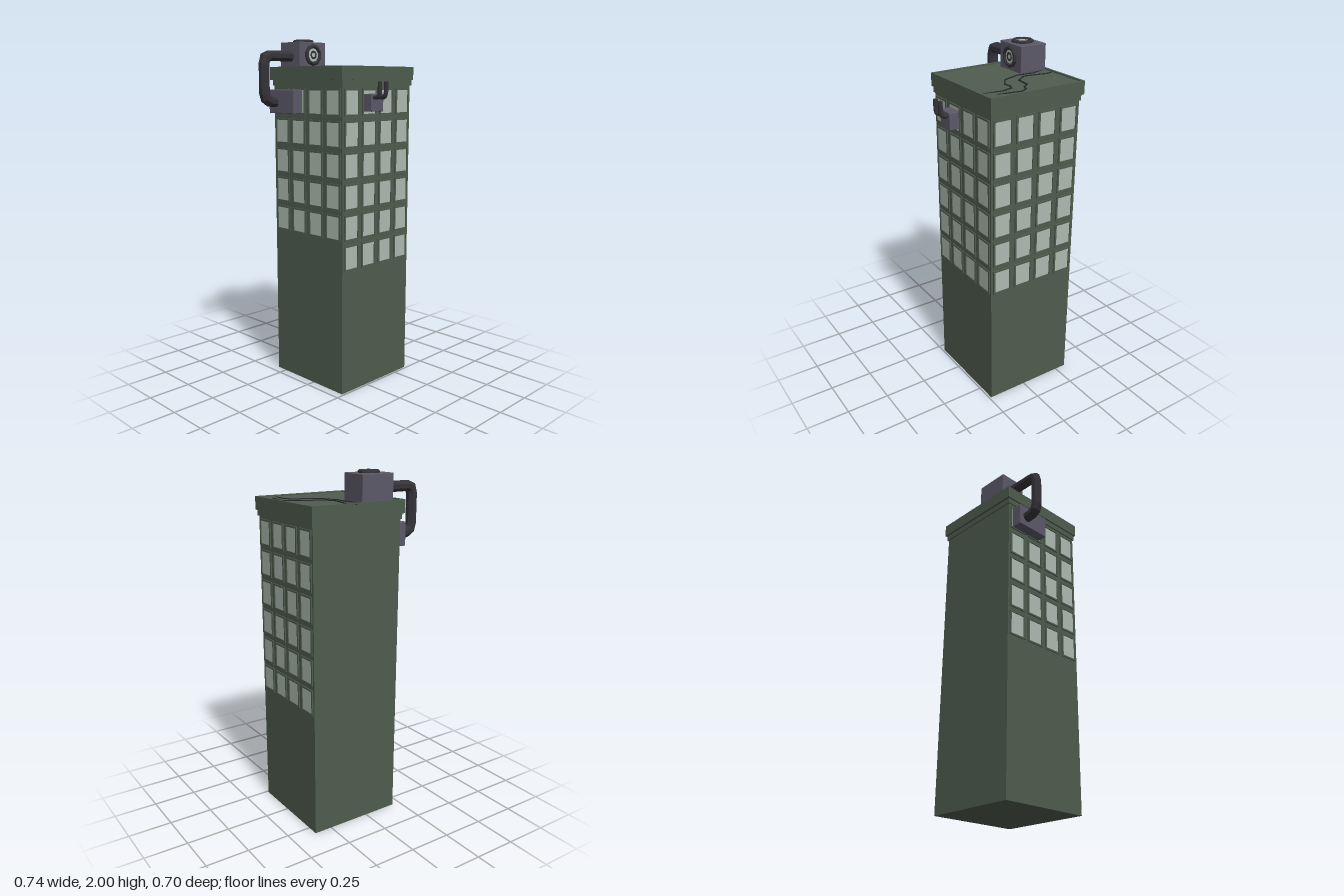
import * as THREE from 'three';
import { RoundedBoxGeometry } from 'three/addons/geometries/RoundedBoxGeometry.js';

const CX = 0.078, CZ = -0.04, W = 0.556, ROOF = 1.838;

const mat = (name, color) => {
  const m = new THREE.MeshStandardMaterial({ color });
  m.name = name;
  return m;
};

// Facet a geometry: one normal per face
function flat(geo) {
  const g = geo.index ? geo.toNonIndexed() : geo;
  g.computeVertexNormals();
  return g;
}

// Rectangular ring lying in XY, extruded along +z
function frameGeo(w, h, border, depth) {
  const rect = (P, a, b) => new P([[-a, -b], [a, -b], [a, b], [-a, b]].map(p => new THREE.Vector2(...p)));
  const shape = rect(THREE.Shape, w / 2, h / 2);
  shape.holes.push(rect(THREE.Path, w / 2 - border, h / 2 - border));
  return new THREE.ExtrudeGeometry(shape, { depth, bevelEnabled: false });
}

// Faceted mitred sweep along a polyline; radius is a function of point index
function sweep(points, radius, sides, up) {
  const pts = points.map(p => new THREE.Vector3(...p)), n = pts.length;
  const pos = [], idx = [];
  pts.forEach((p, i) => {
    const a = pts[Math.max(i - 1, 0)], b = pts[Math.min(i + 1, n - 1)];
    const d0 = p.clone().sub(a).normalize(), d1 = b.clone().sub(p).normalize();
    const t = d0.clone().add(d1).normalize();
    const side = up.clone(); // constant axis across the path's plane
    const nor = new THREE.Vector3().crossVectors(t, side).normalize();
    const mitre = i > 0 && i < n - 1 ? 1 / Math.max(0.6, t.dot(d1)) : 1;
    for (let k = 0; k < sides; k++) {
      const ang = ((k + 0.5) / sides) * Math.PI * 2, r = radius(i);
      const v = p.clone().addScaledVector(nor, Math.cos(ang) * r * mitre).addScaledVector(side, Math.sin(ang) * r);
      pos.push(v.x, v.y, v.z);
    }
  });
  for (let i = 0; i < n - 1; i++)
    for (let k = 0; k < sides; k++) {
      const a = i * sides + k, b = i * sides + (k + 1) % sides;
      idx.push(a, a + sides, b, b, a + sides, b + sides);
    }
  for (let k = 1; k < sides - 1; k++) {
    const e = (n - 1) * sides;
    idx.push(0, k, k + 1, e, e + k + 1, e + k);
  }
  const g = new THREE.BufferGeometry();
  g.setAttribute('position', new THREE.Float32BufferAttribute(pos, 3));
  g.setIndex(idx);
  // Keep the faces pointing outwards whichever way the frame turned
  const q = j => new THREE.Vector3().fromArray(pos, j * 3);
  const normal = q(sides).sub(q(0)).cross(q(1).sub(q(0)));
  if (normal.dot(q(0).sub(pts[0])) < 0)
    for (let i = 0; i < idx.length; i += 3) [idx[i], idx[i + 1]] = [idx[i + 1], idx[i]];
  g.setIndex(idx);
  return flat(g);
}

export function createModel() {
  const wall = mat('wallGreen', 0x4f5c4e), glass = mat('paleGlass', 0xadbab0);
  const metal = mat('greyViolet', 0x5c5968), pipe = mat('darkPipe', 0x353339);
  const dark = mat('crackBlack', 0x28292b);

  const model = new THREE.Group();
  model.name = 'towerBlock';
  const add = (name, geo, material, x = 0, y = 0, z = 0, parent = model) => {
    const m = new THREE.Mesh(geo, material);
    m.name = name;
    m.position.set(x, y, z);
    parent.add(m);
    return m;
  };
  const box = (name, material, x0, x1, y0, y1, z0, z1, r = 0) => {
    const s = [x1 - x0, y1 - y0, z1 - z0];
    const g = r ? flat(new RoundedBoxGeometry(...s, 1, r)) : new THREE.BoxGeometry(...s);
    return add(name, g, material, (x0 + x1) / 2, (y0 + y1) / 2, (z0 + z1) / 2);
  };

  // Tower, cornice, roof slab and its low rim
  add('tower', new THREE.BoxGeometry(W, 1.772, W), wall, CX, 0.886, CZ);
  add('cornice', new THREE.BoxGeometry(W + 0.014, 0.034, W + 0.014), wall, CX, 1.757, CZ);
  add('roofSlab', new THREE.BoxGeometry(0.588, ROOF - 1.772, 0.588), wall, CX, (ROOF + 1.772) / 2, CZ - 0.003);
  add('roofRim', frameGeo(0.588, 0.588, 0.014, 0.008), wall, CX, ROOF, CZ - 0.003).rotation.x = -Math.PI / 2;

  // Window grids on the front, left and right walls; the back stays blank
  const frame = frameGeo(0.115, 0.147, 0.01, 0.007);
  const pane = new THREE.PlaneGeometry(0.096, 0.128);
  [['front', 0, 6], ['left', Math.PI / 2, 6], ['right', -Math.PI / 2, 5]].forEach(([side, turn, rows]) => {
    const grid = new THREE.Group();
    grid.name = side + 'Windows';
    grid.position.set(CX, 0, CZ);
    grid.rotation.y = turn;
    for (let r = 0; r < rows; r++)
      for (let c = 0; c < 4; c++) {
        const x = (c - 1.5) * W / 4, y = 1.652 - r * 0.1714;
        add('windowFrame', frame, wall, x, y, W / 2, grid);
        add('windowPane', pane, glass, x, y, W / 2 + 0.002, grid);
      }
    model.add(grid);
  });

  // Rooftop unit with a round port on top and another in front
  box('rooftopUnit', metal, -0.147, 0.054, ROOF, 1.985, -0.32, -0.155, 0.003);
  const ring = flat(new THREE.LatheGeometry(
    [[0.061, -0.002], [0.061, 0.009], [0.054, 0.015], [0.045, 0.015], [0.038, 0.004]].map(p => new THREE.Vector2(...p)), 10));
  const port = (name, x, y, z, tilt) => {
    const g = new THREE.Group();
    g.name = name;
    g.position.set(x, y, z);
    g.rotation.x = tilt;
    add('portRing', ring, pipe, 0, 0, 0, g);
    add('portGlass', new THREE.CircleGeometry(0.041, 10), glass, 0, 0.005, 0, g).rotation.x = -Math.PI / 2;
    model.add(g);
    return g;
  };
  port('topPort', -0.047, 1.985, -0.235, 0);
  const front = port('frontPort', -0.047, 1.913, -0.155, Math.PI / 2);
  add('portInnerRing', new THREE.RingGeometry(0.013, 0.025, 10), pipe, 0, 0.008, 0, front).rotation.x = -Math.PI / 2;

  // Side box and the large pipe looping up to the rooftop unit
  box('sideBox', metal, -0.266, -0.195, 1.585, 1.718, -0.288, -0.078, 0.004);
  const pz = -0.235;
  add('loopPipe', sweep([[-0.13, 1.905, pz], [-0.305, 1.905, pz], [-0.333, 1.893, pz], [-0.343, 1.86, pz],
    [-0.343, 1.70, pz], [-0.334, 1.67, pz], [-0.305, 1.652, pz], [-0.25, 1.646, pz]],
    () => 0.031, 8, new THREE.Vector3(0, 0, 1)), pipe);

  // Front box with two upturned vent pipes
  box('frontBox', metal, -0.04, 0.058, 1.602, 1.697, 0.23, 0.30, 0.004);
  for (const x of [-0.017, 0.033])
    add('ventPipe', sweep([[x, 1.678, 0.29], [x, 1.678, 0.318], [x, 1.686, 0.333], [x, 1.705, 0.339], [x, 1.762, 0.339]],
      () => 0.0125, 8, new THREE.Vector3(1, 0, 0)), pipe);

  // Two winding cracks across the roof, tapering to their ends
  const cracks = [
    [[0.054, -0.30], [0.079, -0.217], [0.07, -0.119], [0.108, -0.014], [0.178, 0.038], [0.22, 0.034],
      [0.259, 0.05], [0.277, 0.117], [0.259, 0.225]],
    [[0.105, -0.348], [0.13, -0.282], [0.104, -0.137], [0.156, -0.068], [0.244, -0.058], [0.271, -0.02],
      [0.309, -0.004], [0.335, 0.038], [0.321, 0.119], [0.307, 0.173]],
  ];
  cracks.forEach(c => add('roofCrack', sweep(c.map(([x, z]) => [x, ROOF + 0.001, z]),
    i => (i === 0 || i === c.length - 1 ? 0.0015 : 0.005), 4, new THREE.Vector3(0, 1, 0)), dark));

  return model;
}
